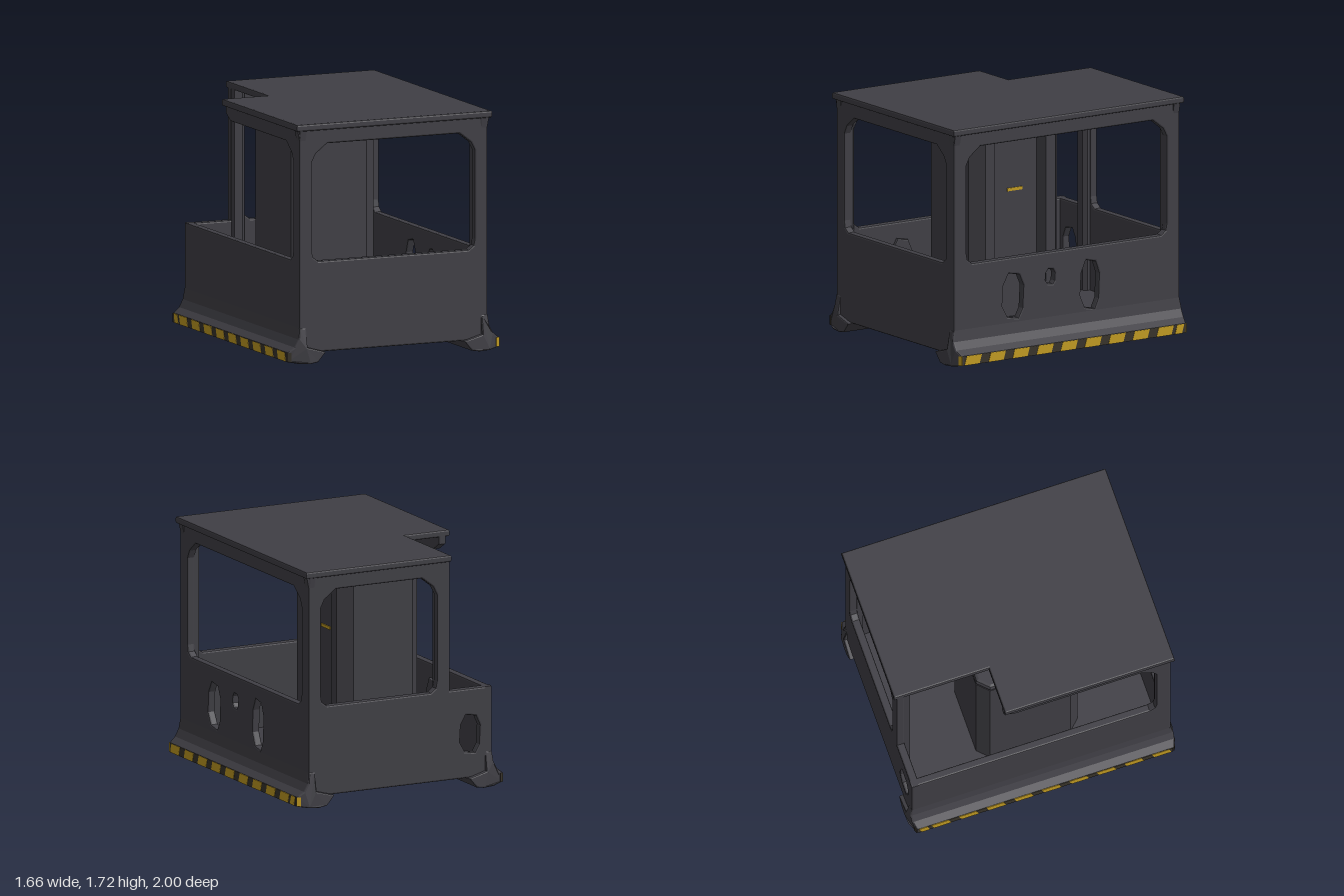
import * as THREE from 'three';

const body = new THREE.MeshStandardMaterial({ color: 0x403f45 });
body.name = 'charcoal';
const yellow = new THREE.MeshStandardMaterial({ color: 0xc09a22 });
yellow.name = 'warning yellow';
const brown = new THREE.MeshStandardMaterial({ color: 0x38332a });
brown.name = 'stripe brown';

const vecs = (pts) => pts.map(([x, y]) => new THREE.Vector2(x, y));

// Extrusion centred on its depth, with softly bevelled edges kept inside the outline
function slab(pts, depth, bevel = 0.012, holes = []) {
  const shape = new THREE.Shape(vecs(pts));
  holes.forEach((h) => shape.holes.push(new THREE.Path(vecs(h))));
  const g = new THREE.ExtrudeGeometry(shape, {
    depth: depth - 2 * bevel, bevelEnabled: bevel > 0, bevelSize: bevel,
    bevelThickness: bevel, bevelOffset: -bevel, bevelSegments: 2,
  });
  return g.translate(0, 0, -(depth - 2 * bevel) / 2);
}

// Window outline with cut corners, larger at the top
function windowHole(a, b, y0 = 0.73, y1 = 1.57) {
  return [[a + 0.05, y0], [b - 0.05, y0], [b - 0.01, y0 + 0.03], [b, y0 + 0.08], [b, y1 - 0.13], [b - 0.03, y1 - 0.07],
    [b - 0.12, y1], [a + 0.12, y1], [a + 0.03, y1 - 0.07], [a, y1 - 0.13], [a, y0 + 0.08], [a + 0.01, y0 + 0.03]];
}

// Irregular eight-sided opening
function port(cx, cy, w, h) {
  return [[-0.25, -0.5], [0.25, -0.45], [0.5, -0.2], [0.45, 0.25], [0.2, 0.5], [-0.3, 0.45], [-0.5, 0.2], [-0.45, -0.3]]
    .map(([x, y]) => [cx + x * w, cy + y * h]);
}

export function createModel() {
  const model = new THREE.Group();
  const add = (name, geo, mat = body, x = 0, y = 0, z = 0) => {
    const m = new THREE.Mesh(geo, mat);
    m.name = name;
    m.position.set(x, y, z);
    model.add(m);
    return m;
  };
  const T = 0.06, X = 0.735, Z = 0.97, LOW = 0.73, TOP = 1.7;
  const toSide = (g) => g.rotateY(-Math.PI / 2); // profile x becomes world z
  const flat = (g) => g.rotateX(-Math.PI / 2); // profile y becomes world -z
  // Walls flare slightly towards the roof edge
  const flareX = [[X, 1.6], [0.755, TOP]], flareZ = [[Z, 1.6], [0.98, TOP]];

  // Front wall with wide window
  add('frontWall', slab([[-X, 0.08], [X, 0.08], ...flareX, [-0.755, TOP], [-X, 1.6]], T, 0.012,
    [windowHole(-0.635, 0.635)]), body, 0, 0, Z - T / 2);

  // Rear wall, cut down to waist height at the open corner
  add('rearWall', slab([[-X, 0.08], [X, 0.08], ...flareX, [-0.4, TOP], [-0.4, LOW], [-X, LOW]], T, 0.012,
    [windowHole(-0.295, 0.635), port(-0.56, 0.4, 0.16, 0.28)]), body, 0, 0, -Z + T / 2);

  // Left wall with window and three openings
  const ports = [port(0.46, 0.45, 0.18, 0.33), port(-0.2, 0.45, 0.16, 0.36), port(0.14, 0.55, 0.08, 0.11)];
  add('leftWall', toSide(slab([[-Z, 0.08], [Z, 0.08], ...flareZ, [-0.98, TOP], [-Z, 1.6]], T, 0.012,
    [windowHole(-0.86, 0.86), ...ports])), body, X - T / 2);

  // Right wall, open at the rear above the waist
  add('rightWall', toSide(slab([[-Z, 0.08], [Z, 0.08], ...flareZ, [-0.28, TOP], [-0.28, 1.62], [-0.2, 1.57], [0.74, 1.57],
    [0.83, 1.5], [0.86, 1.44], [0.86, 0.81], [0.85, 0.76], [0.81, LOW], [-Z, LOW]], T)), body, -X + T / 2);

  // Shallow bosses on the inside of the right wall
  ports.forEach((p) => add('wallBoss', toSide(slab(p, 0.03, 0.008)), body, -X + T + 0.008));

  // Corner posts
  [[0.685, 0.915], [-0.685, 0.915], [0.685, -0.915], [-0.347, -0.915]].forEach(([x, z]) =>
    add('cornerPost', flat(slab([[-0.045, -0.05], [0.02, -0.05], [0.045, -0.025], [0.045, 0.025], [0.02, 0.05], [-0.045, 0.05]],
      1.58, 0.005)), body, x, 0.89, z));

  // Roof with a notch over the open corner
  add('roof', flat(slab([[-0.76, -0.988], [0.76, -0.988], [0.76, 0.988], [-0.4, 0.988], [-0.4, 0.28], [-0.76, 0.28]],
    0.05, 0.012)), body, 0, 1.695);

  // Floor
  add('floor', new THREE.BoxGeometry(1.44, 0.05, 1.92), body, 0, 0.105);

  // Flared side skids with hazard striping
  const skid = [[0.54, 0.08], [0.6, 0.01], [0.66, 0], [0.74, 0.005], [0.825, 0.02], [0.825, 0.09],
    [0.775, 0.125], [0.745, 0.18], [0.735, 0.26], [0.68, 0.26], [0.68, 0.12]];
  for (const s of [1, -1]) {
    const geo = slab(skid.map(([x, y]) => [s * x, y]), 2, 0.01);
    // Draw the ends in towards the outer edge and towards the wall above
    const p = geo.attributes.position;
    for (let i = 0; i < p.count; i++) {
      const inset = Math.max(0, Math.abs(p.getX(i)) - 0.73) * 0.4 + Math.max(0, p.getY(i) - 0.1) * 0.18;
      p.setZ(i, p.getZ(i) * (1 - inset));
    }
    geo.computeVertexNormals();
    add('sideSkid', geo);
    add('stripeBand', new THREE.BoxGeometry(0.006, 0.066, 1.9), brown, s * 0.825, 0.055);
    for (const e of [1, -1]) {
      const end = add('stripeBandEnd', new THREE.BoxGeometry(0.03, 0.066, 0.008), s > 0 ? yellow : brown, s * 0.812, 0.055, e * 0.966);
      end.rotation.y = s * e * 0.38;
    }
    for (let i = 0; i < 10; i++) {
      const z = Math.max(0.868 - i * 0.206, -0.905), w = i < 9 ? 0.064 : 0.03;
      add('hazardStripe', toSide(slab([[z - w + 0.01, 0.022], [z + w + 0.01, 0.022], [z + w - 0.01, 0.088], [z - w - 0.01, 0.088]],
        0.008, 0)), yellow, s * 0.826);
    }
  }

  // Cabinet with a recessed face on its left side
  const back = [[0.06, 0.38], [-0.41, 0.38], [-0.49, 0.3], [-0.49, -0.3], [-0.41, -0.38], [0.06, -0.38]];
  const recess = [[0.155, -0.3], [0.155, -0.22], [0.08, -0.19], [0.08, 0.19], [0.155, 0.22], [0.155, 0.3]];
  add('cabinet', flat(slab([...back, ...recess], 1.4, 0)), body, 0, 0.8);
  add('cabinetTop', flat(slab([...back, [0.155, -0.3], [0.155, 0.3]], 0.07, 0.025)), body, 0, 1.525);
  add('cabinetHandle', new THREE.BoxGeometry(0.008, 0.022, 0.13), yellow, 0.083, 1.05);

  return model;
}
